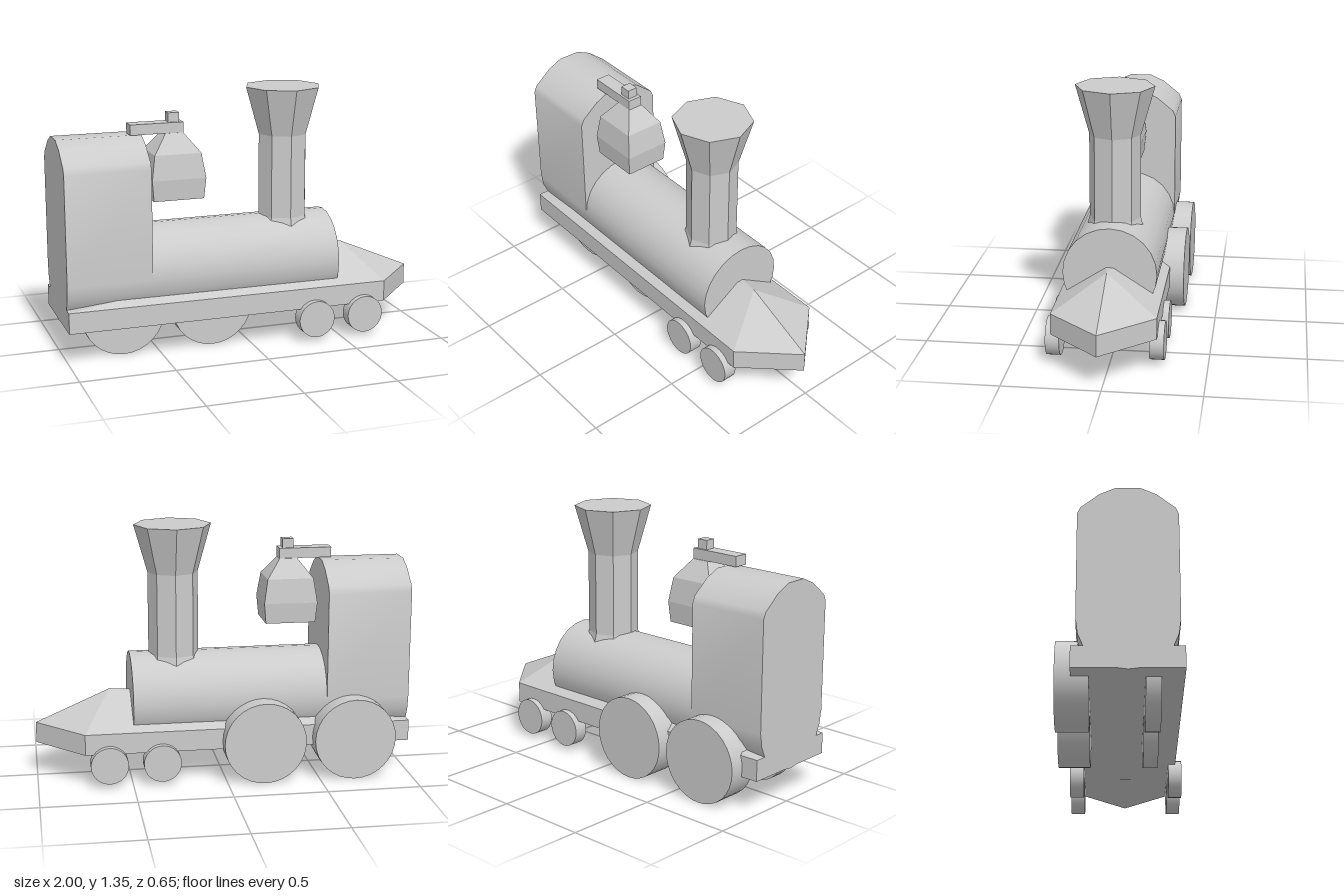
import * as THREE from 'three';
import { toCreasedNormals } from 'three/addons/utils/BufferGeometryUtils.js';

const smooth = new THREE.MeshStandardMaterial({ color: 0xcccccc });
const flat = new THREE.MeshStandardMaterial({ color: 0xcccccc, flatShading: true });
const MID = 0.023; // z of the body's centre line

// Pointed slab whose top rises as a shallow pyramid to one apex
function deckGeometry() {
  const outline = [[-1, 0.29], [0.75, 0.29], [1, MID], [0.75, -0.247], [-1, -0.247]];
  const low = 0.18, high = 0.292, apex = [0.6, 0.465, MID];
  const pos = [];
  outline.forEach((a, i) => {
    const b = outline[(i + 1) % outline.length];
    const aLow = [a[0], low, a[1]], bLow = [b[0], low, b[1]];
    const aHigh = [a[0], high, a[1]], bHigh = [b[0], high, b[1]];
    pos.push(...aLow, ...bLow, ...bHigh, ...aLow, ...bHigh, ...aHigh);
    pos.push(...aHigh, ...bHigh, ...apex);
    pos.push(...bLow, ...aLow, 0, low, MID);
  });
  const g = new THREE.BufferGeometry();
  g.setAttribute('position', new THREE.Float32BufferAttribute(pos, 3));
  g.computeVertexNormals();
  return g;
}

// Upright cab section with an arched roof, extruded along x
function cabGeometry() {
  const half = [[0.247, 0.42], [0.247, 1.0], [0.232, 1.035], [0.14, 1.11], [0.06, 1.147]];
  const points = [...half, ...half.map(([x, y]) => [-x, y]).reverse()];
  const shape = new THREE.Shape(points.map(([x, y]) => new THREE.Vector2(x, y)));
  const g = new THREE.ExtrudeGeometry(shape, { depth: 0.45, bevelEnabled: false });
  g.rotateY(Math.PI / 2).translate(-1, 0, MID);
  return toCreasedNormals(g, 0.8);
}

const lathe = (profile, sides, phase = 0) => new THREE.LatheGeometry(
  profile.map(([r, y]) => new THREE.Vector2(r, y)), sides, phase);

export function createModel() {
  const model = new THREE.Group();
  model.name = 'steamLocomotive';

  const add = (name, geometry, material, x = 0, y = 0, z = 0) => {
    const mesh = new THREE.Mesh(geometry, material);
    mesh.name = name;
    mesh.position.set(x, y, z);
    model.add(mesh);
    return mesh;
  };

  add('deck', deckGeometry(), flat);

  // Boiler runs the whole way back under the cab
  add('boiler', new THREE.CylinderGeometry(0.245, 0.245, 1.49, 24).rotateZ(Math.PI / 2),
    smooth, -0.255, 0.418, MID);
  add('cab', cabGeometry(), smooth);

  // Octagonal chimney with a flared, closed top
  add('chimney', lathe([[0, 0.58], [0.155, 0.58], [0.135, 0.655], [0.135, 1.1],
    [0.207, 1.355], [0, 1.355]], 8), flat, 0.25, 0, MID);

  // Four-sided bell, slightly deeper in x than in z
  const bell = lathe([[0, 0.81], [0.135, 0.81], [0.145, 0.92], [0.125, 1.05],
    [0.048, 1.15], [0, 1.15]].map(([r, y]) => [r * Math.SQRT2, y]), 4, Math.PI / 4);
  add('bell', bell.scale(1, 1, 0.86), flat, -0.38, 0, 0.066);
  add('bellArm', new THREE.BoxGeometry(0.285, 0.055, 0.08), flat, -0.473, 1.178, 0.068);
  add('bellKnob', new THREE.BoxGeometry(0.06, 0.06, 0.056), flat, -0.38, 1.225, 0.068);

  // Wheels given by radius, height and the z span on each side
  const wheel = (name, x, y, r, z0, z1) => add(name,
    new THREE.CylinderGeometry(r, r, z1 - z0, 32).rotateX(Math.PI / 2), smooth, x, y, (z0 + z1) / 2);
  for (const x of [-0.688, -0.2]) {
    wheel('rightDriveWheel', x, 0.222, 0.22, -0.324, -0.162);
    wheel('leftDriveWheel', x, 0.222, 0.22, 0.105, 0.18);
  }
  for (const x of [0.345, 0.625]) {
    wheel('rightSmallWheel', x, 0.125, 0.1, -0.28, -0.205);
    wheel('leftSmallWheel', x, 0.125, 0.1, 0.252, 0.324);
  }

  // Stand the lowest wheels exactly on the ground
  model.children.forEach((m) => { m.position.y -= 0.002; });
  return model;
}
